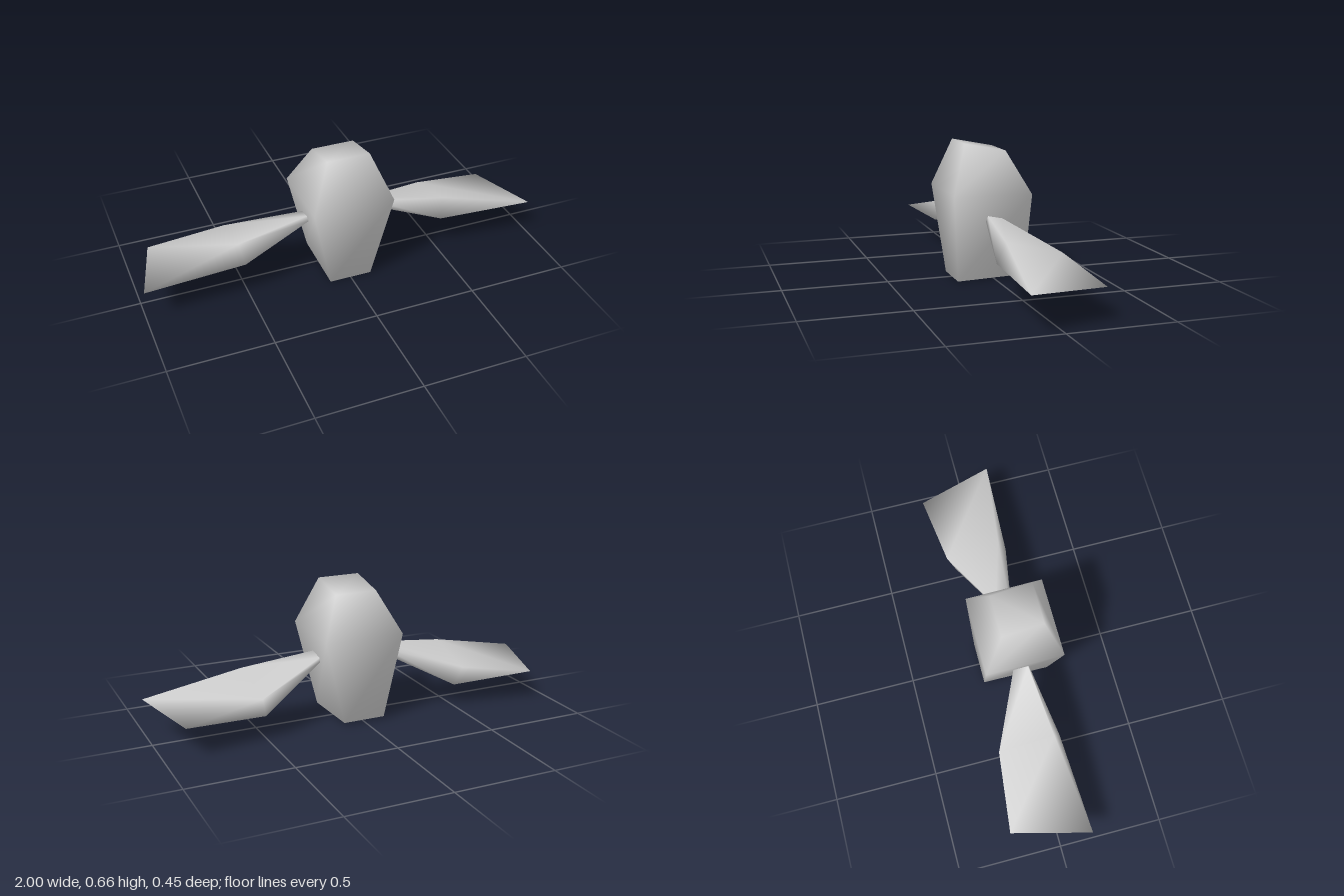
import * as THREE from 'three';
import { mergeVertices } from 'three/addons/utils/BufferGeometryUtils.js';

// Skin four-cornered rings, each counter-clockwise about the direction of travel.
function loft(rings) {
  const index = [];
  for (let r = 0; r < rings.length - 1; r++) {
    for (let i = 0; i < 4; i++) {
      const j = (i + 1) % 4;
      const a = r * 4 + i, b = r * 4 + j, c = b + 4, d = a + 4;
      index.push(a, b, c, a, c, d);
    }
  }
  const e = (rings.length - 1) * 4;
  index.push(0, 2, 1, 0, 3, 2, e, e + 1, e + 2, e, e + 2, e + 3);
  const geometry = new THREE.BufferGeometry();
  geometry.setAttribute('position', new THREE.Float32BufferAttribute(rings.flat(2), 3));
  geometry.setIndex(index);
  const merged = mergeVertices(geometry, 1e-4);
  merged.computeVertexNormals();
  return merged;
}

export function createModel() {
  const model = new THREE.Group();
  const grey = new THREE.MeshStandardMaterial({ color: 0xcccccc });
  grey.name = 'light grey';

  const add = (name, rings) => {
    const mesh = new THREE.Mesh(loft(rings), grey);
    mesh.name = name;
    model.add(mesh);
  };

  // Body: half width, then height and depth of the front and back edges
  const bodyRing = ([w, yf, zf, yb, zb]) =>
    [[-w, yf, zf], [w, yf, zf], [w, yb, zb], [-w, yb, zb]];
  add('body', [
    [0.105, 0.0, 0.182, 0.01, -0.15],
    [0.2, 0.43, 0.226, 0.42, -0.156],
    [0.105, 0.66, 0.146, 0.62, -0.056],
  ].map(bodyRing));

  // Wing: twisted rectangles from root to middle, closing to a sharp tip edge
  const tipFront = [1.0, 0.172, 0.15], tipBack = [0.9, 0.148, -0.225];
  const wing = [
    [[0.175, 0.325, 0.055], [0.168, 0.3, 0.063], [0.165, 0.285, -0.007], [0.17, 0.31, -0.015]],
    [[0.53, 0.278, 0.09], [0.51, 0.18, 0.126], [0.5, 0.111, -0.145], [0.525, 0.21, -0.181]],
    [tipFront, tipFront, tipBack, tipBack],
  ];
  const mirror = (ring) => ring.map(([x, y, z]) => [-x, y, z]).reverse();
  add('leftWing', wing);
  add('rightWing', wing.map(mirror));

  return model;
}
